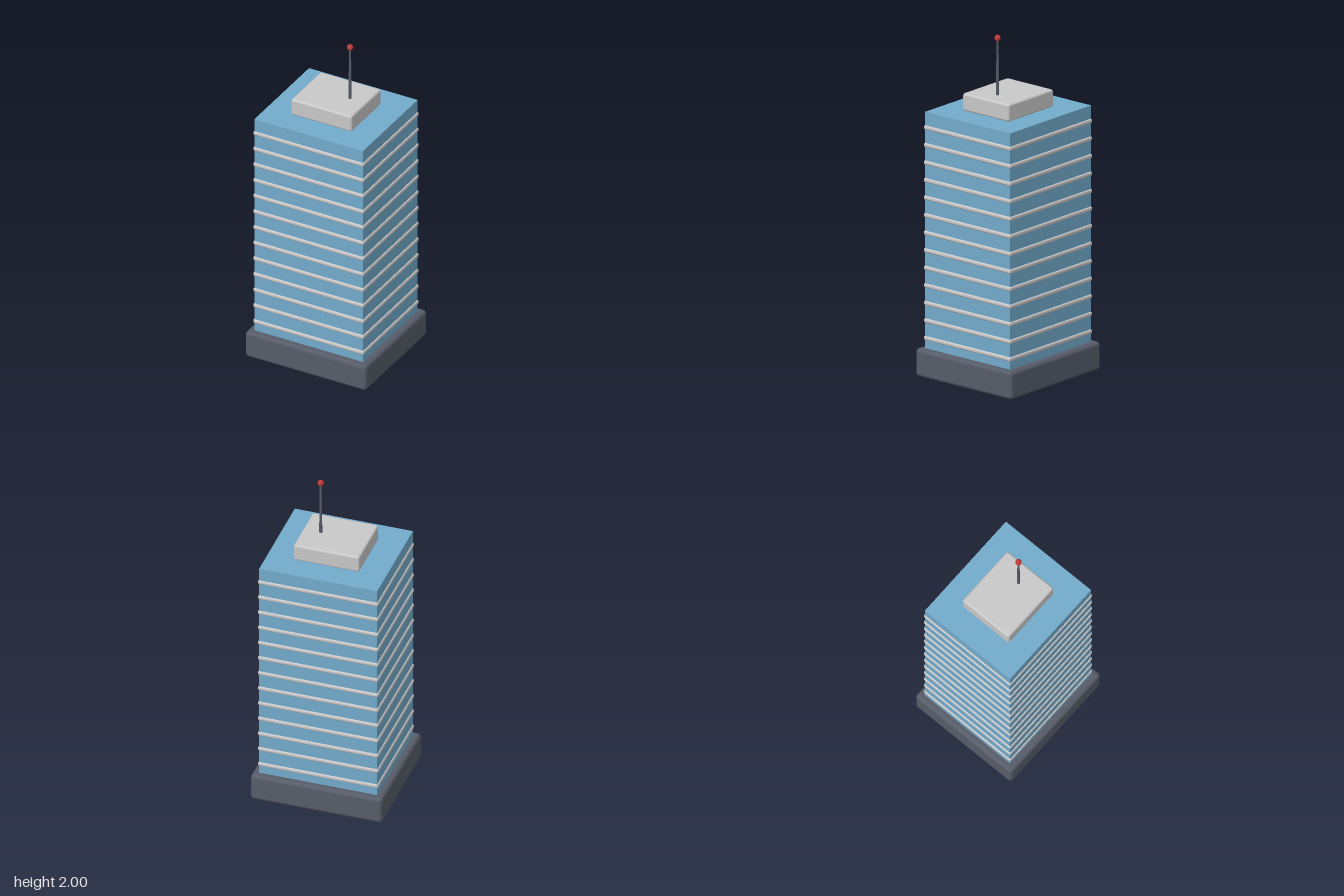
import * as THREE from 'three';
import { RoundedBoxGeometry } from 'three/addons/geometries/RoundedBoxGeometry.js';

const material = (name, color) => {
  const m = new THREE.MeshStandardMaterial({ color });
  m.name = name;
  return m;
};

export function createModel() {
  const slate = material('slate', 0x565c68);
  const glass = material('blue glass', 0x72aacb);
  const concrete = material('light grey', 0xc8c8c9);
  const red = material('beacon red', 0xc23a3a);

  const building = new THREE.Group();
  building.name = 'officeTower';

  const add = (name, geometry, mat, x, y, z = 0) => {
    const mesh = new THREE.Mesh(geometry, mat);
    mesh.name = name;
    mesh.position.set(x, y, z);
    building.add(mesh);
    return mesh;
  };

  // Wide plinth at street level
  add('base', new RoundedBoxGeometry(0.775, 0.164, 0.706, 3, 0.022), slate, 0, 0.082);

  // Glass shaft
  const bottom = 0.1, top = 1.547;
  add('tower', new THREE.BoxGeometry(0.696, top - bottom, 0.626), glass, 0, (top + bottom) / 2);

  // Rounded floor bands, evenly spaced up the shaft
  const bandGeometry = new RoundedBoxGeometry(0.71, 0.027, 0.64, 3, 0.011);
  for (let i = 0; i < 13; i++) {
    add(`floorBand${i + 1}`, bandGeometry, concrete, 0, 0.224 + i * 0.1027);
  }

  // Plant room on the roof
  add('roofHouse', new RoundedBoxGeometry(0.388, 0.103, 0.341, 3, 0.013), concrete, 0, 1.5975);

  // Tapered mast with a warning light
  add('mast', new THREE.CylinderGeometry(0.006, 0.009, 0.34, 16), slate, 0.09, 1.81);
  add('beacon', new THREE.SphereGeometry(0.018, 24, 16), red, 0.09, 1.982);

  return building;
}
